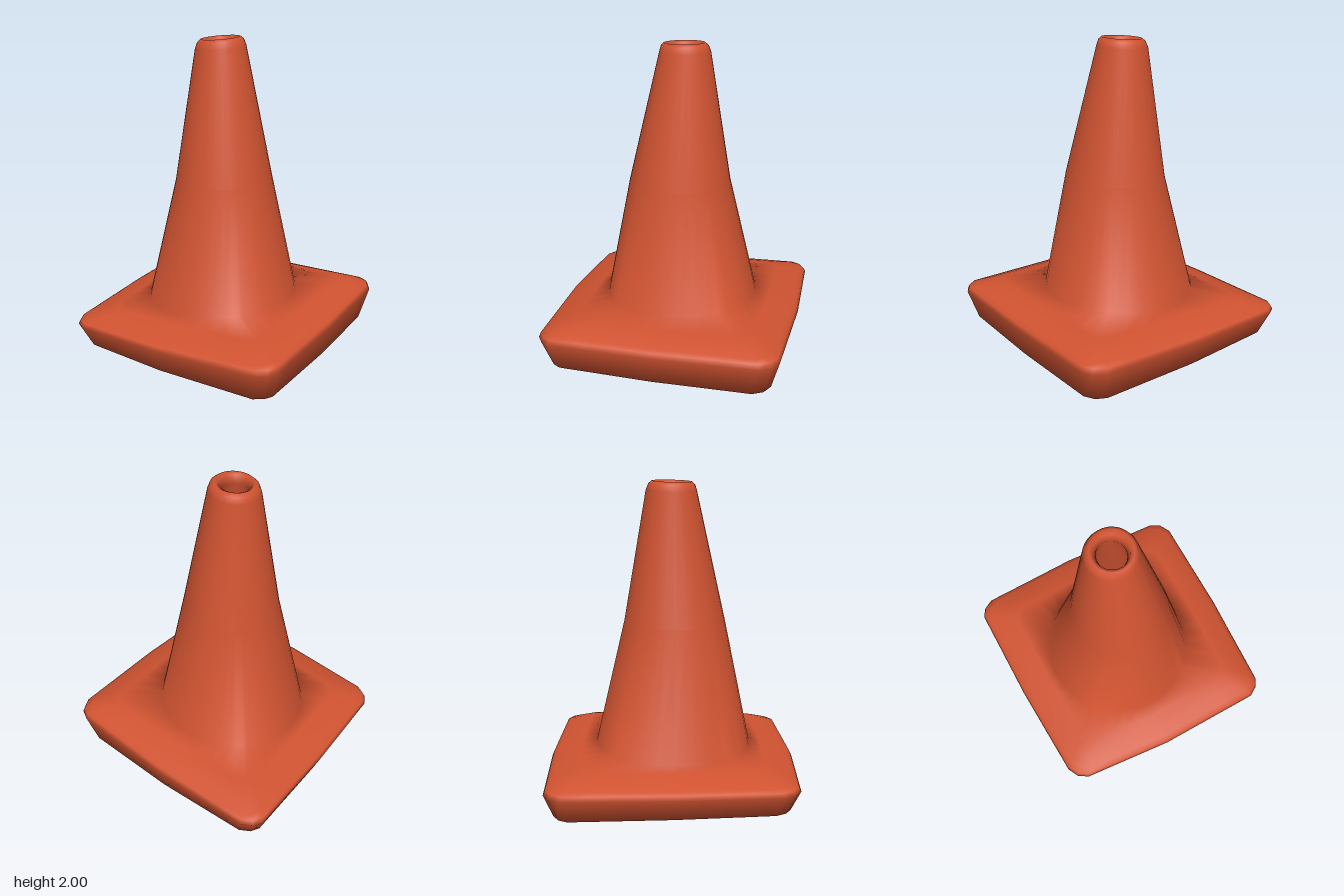
import * as THREE from 'three';

// Base outline (x, z), one rounded corner of three points then an edge midpoint, four times
const OUTLINE = [
  [-0.57, -0.91], [-0.52, -0.955], [-0.44, -0.97], [0.2, -0.77],
  [0.86, -0.51], [0.915, -0.45], [0.93, -0.37], [0.73, 0.28],
  [0.5, 0.91], [0.455, 0.95], [0.38, 0.97], [-0.3, 0.76],
  [-0.87, 0.52], [-0.92, 0.46], [-0.935, 0.38], [-0.77, -0.26],
];

// Subdivide only the long edges
function sampleOutline() {
  const out = [];
  OUTLINE.forEach((p, i) => {
    const q = OUTLINE[(i + 1) % OUTLINE.length];
    const n = Math.hypot(q[0] - p[0], q[1] - p[1]) > 0.3 ? 4 : 1;
    for (let k = 0; k < n; k++) {
      out.push([p[0] + (q[0] - p[0]) * k / n, p[1] + (q[1] - p[1]) * k / n]);
    }
  });
  return out;
}

const samples = sampleOutline();

// A scaled copy of the base outline on a plane tilted along x
const square = (scale, y, tilt = 0) => samples.map(([x, z]) =>
  [x * scale, y + tilt * x * scale, z * scale]);

// An elliptical ring of the cone, also tilted along x
const round = (cx, cz, rx, rz, y, tilt = 0) => samples.map(([sx, sz]) => {
  const a = Math.atan2(sz, sx);
  const x = cx + rx * Math.cos(a);
  return [x, y + tilt * x, cz + rz * Math.sin(a)];
});

// Join rings into one closed skin with smooth normals
function loft(rings) {
  const n = samples.length, index = [];
  rings.forEach((_, i) => {
    const r0 = i * n, r1 = ((i + 1) % rings.length) * n;
    for (let j = 0; j < n; j++) {
      const k = (j + 1) % n;
      index.push(r0 + j, r1 + j, r0 + k, r1 + j, r1 + k, r0 + k);
    }
  });
  const geo = new THREE.BufferGeometry();
  geo.setAttribute('position', new THREE.Float32BufferAttribute(rings.flat(2), 3));
  geo.setIndex(index);
  geo.computeVertexNormals();
  return geo;
}

export function createModel() {
  const orange = new THREE.MeshStandardMaterial({ color: 0xd05331 });
  orange.name = 'coneOrange';

  const rings = [
    // rim of the base
    square(0.93, 0),
    square(1, 0.17, 0.043),
    square(0.985, 0.2, 0.047),
    square(0.945, 0.213, 0.049),
    // raised top of the base
    square(0.85, 0.243, 0.053),
    square(0.74, 0.264, 0.054),
    // outer cone
    round(-0.045, 0, 0.495, 0.51, 0.287, 0.065),
    round(-0.031, 0.017, 0.314, 0.333, 1.09, 0.05),
    round(-0.06, -0.018, 0.163, 0.164, 1.935, 0.08),
    // rounded lip curling into the hole
    round(-0.06, -0.016, 0.148, 0.15, 1.975, 0.08),
    round(-0.06, -0.014, 0.125, 0.13, 1.993, 0.08),
    round(-0.062, -0.013, 0.1, 0.107, 1.98, 0.08),
    round(-0.062, -0.013, 0.084, 0.092, 1.93, 0.08),
    // hollow inside, flaring down to the flat underside
    round(-0.031, 0.017, 0.265, 0.28, 1.07, 0.05),
    round(-0.02, 0, 0.5, 0.51, 0.02),
  ];

  const cone = new THREE.Mesh(loft(rings), orange);
  cone.name = 'trafficCone';
  const group = new THREE.Group();
  group.name = 'trafficConeModel';
  group.add(cone);
  return group;
}
